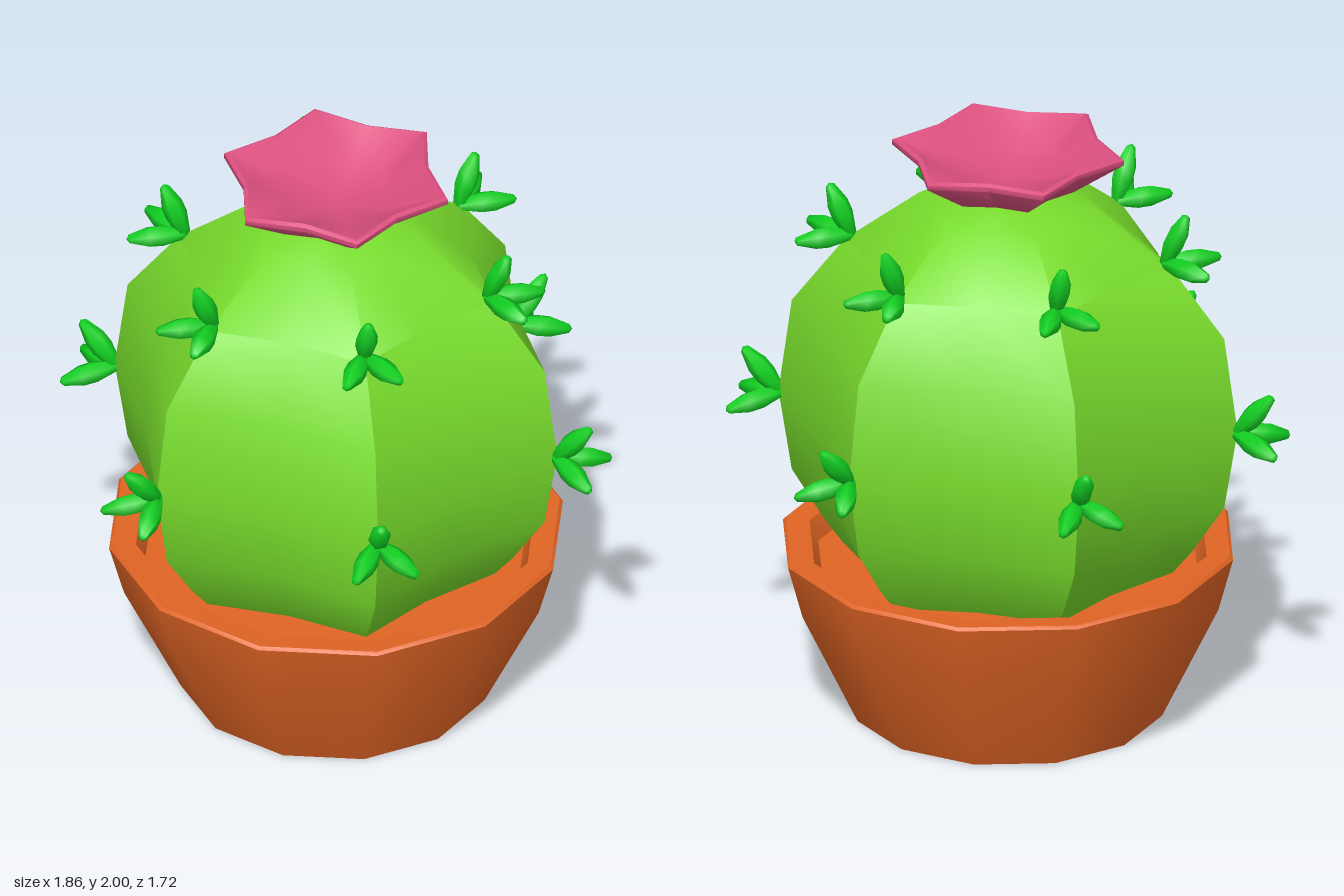
import * as THREE from 'three';
import { toCreasedNormals } from 'three/addons/utils/BufferGeometryUtils.js';

const material = (color) => new THREE.MeshStandardMaterial({ color });

// Turned profile with optional inward valleys between six ribs
function turned(profile, sides, crease, valley = 1) {
  const geometry = new THREE.LatheGeometry(profile.map(([r, y]) => new THREE.Vector2(r, y)), sides);
  const p = geometry.attributes.position;
  for (let i = 0; i < p.count; i++) {
    const angle = Math.atan2(p.getZ(i), p.getX(i));
    const s = THREE.MathUtils.lerp(valley, 1, (1 + Math.cos(6 * angle)) / 2);
    p.setXYZ(i, p.getX(i) * s, p.getY(i), p.getZ(i) * s);
  }
  return toCreasedNormals(geometry, crease);
}

export function createModel() {
  const model = new THREE.Group();
  model.name = 'pottedCactus';
  const add = (name, geometry, color, parent = model) => {
    const mesh = new THREE.Mesh(geometry, material(color));
    mesh.name = name;
    parent.add(mesh);
    return mesh;
  };

  // Pot with rim and closed inside
  add('pot', turned([
    [0, 0], [0.52, 0], [0.71, 0.4], [0.76, 0.585], [0.75, 0.595],
    [0.67, 0.59], [0.64, 0.52], [0, 0.52],
  ], 12, 0.85), 0xe06424);

  // Six-ribbed body
  add('cactusBody', turned([
    [0, 0.42], [0.5, 0.45], [0.62, 0.6], [0.73, 0.77], [0.775, 1.05],
    [0.73, 1.38], [0.55, 1.62], [0.3, 1.81], [0.13, 1.845], [0, 1.85],
  ], 12, 0.95, 0.82), 0x78dc2c);

  // Star-shaped flower with a hollow centre
  add('flower', turned([
    [0, 1.835], [0.12, 1.84], [0.22, 1.86], [0.392, 1.975], [0.392, 1.992],
    [0.375, 2], [0.21, 1.92], [0, 1.88],
  ], 12, 0.9, 0.79), 0xdc5080);

  // Spikes: three per cluster, one cluster per rib at two heights
  const spikeShape = turned([
    [0, -0.02], [0.02, 0], [0.037, 0.075], [0.036, 0.12], [0.016, 0.185], [0, 0.195],
  ], 6, 1.2);
  const up = new THREE.Vector3(0, 1, 0);
  const rows = [
    { r: 0.77, y: 1.045, directions: [[0.13, 0.15, 0.01], [0.15, -0.035, 0.1], [0.15, -0.035, -0.1]] },
    { r: 0.53, y: 1.635, directions: [[0.07, 0.17, 0], [0.16, 0, 0.09], [0.16, 0, -0.09]] },
  ];
  for (const { r, y, directions } of rows) {
    for (let k = 0; k < 6; k++) {
      const cluster = new THREE.Group();
      cluster.name = 'spikeCluster';
      cluster.rotation.y = k * Math.PI / 3;
      for (const d of directions) {
        const spike = add('spike', spikeShape, 0x12d022, cluster);
        spike.position.set(r, y, 0);
        spike.quaternion.setFromUnitVectors(up, new THREE.Vector3(...d).normalize());
      }
      model.add(cluster);
    }
  }
  return model;
}
